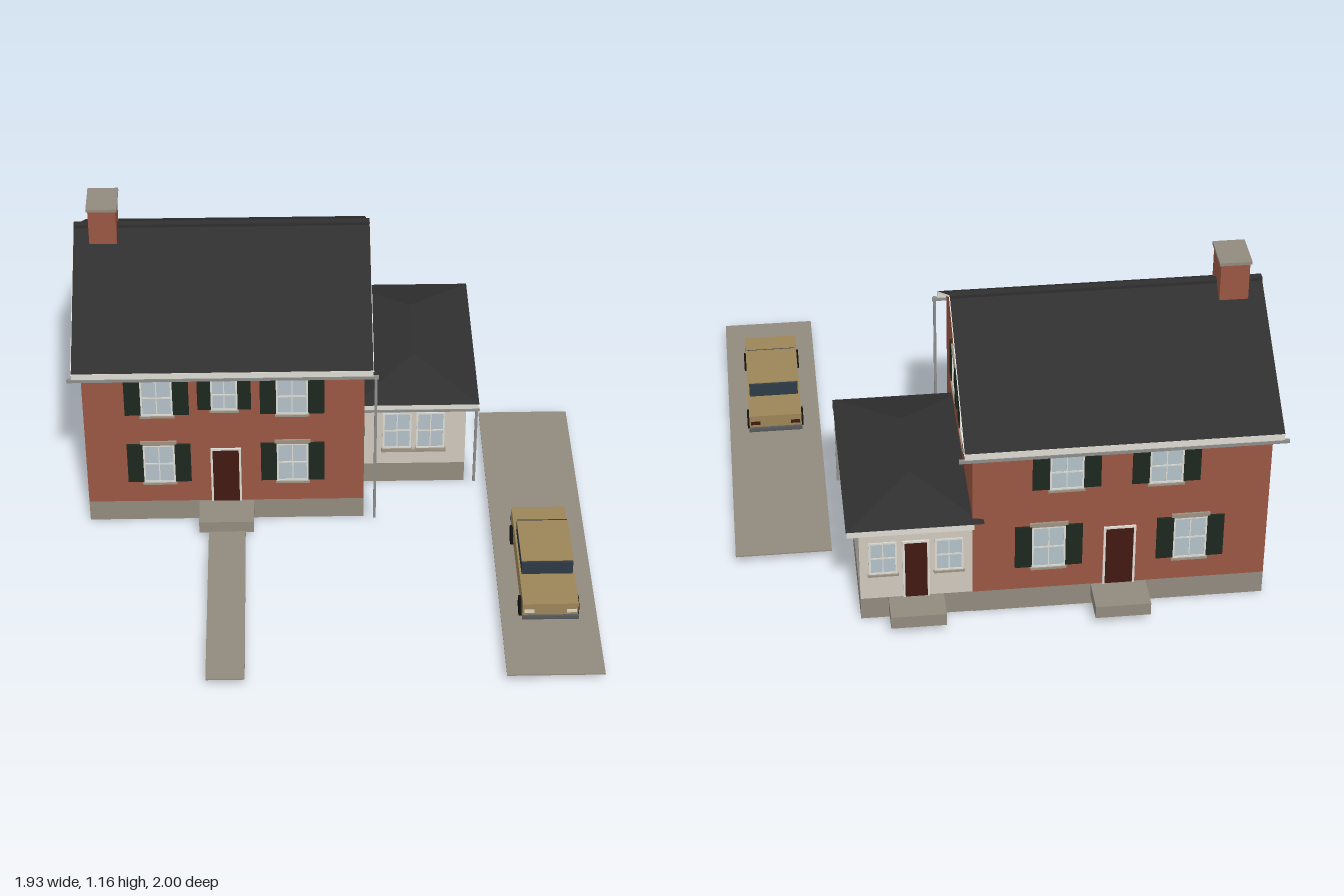
import * as THREE from 'three';

const mat = (color, side = THREE.FrontSide) =>
  new THREE.MeshStandardMaterial({ color, side, flatShading: true });

const M = {
  brick: mat(0x9a5743), stone: mat(0x918a7e), siding: mat(0xcfc8bd), roof: mat(0x302f2f, THREE.DoubleSide),
  trim: mat(0xdcdad2), trimSheet: mat(0xdcdad2, THREE.DoubleSide), gutter: mat(0x8c8c8a), glass: mat(0xb2c1c8),
  shutter: mat(0x1c2820), door: mat(0x421a12), lintel: mat(0x9c9282), paint: mat(0x9c8558),
  carGlass: mat(0x2c3a46), tyre: mat(0x111111), chrome: mat(0x55585a), lamp: mat(0xd8d4c0),
};

// Box given by its limits on each axis
function box(parent, name, material, [x0, x1], [y0, y1], [z0, z1]) {
  const mesh = new THREE.Mesh(new THREE.BoxGeometry(x1 - x0, y1 - y0, z1 - z0), material);
  mesh.position.set((x0 + x1) / 2, (y0 + y1) / 2, (z0 + z1) / 2);
  mesh.name = name;
  parent.add(mesh);
  return mesh;
}

// Flat sheet through corners listed counter-clockwise
function sheet(parent, name, material, corners) {
  const pos = [];
  for (let i = 1; i < corners.length - 1; i++) pos.push(...corners[0], ...corners[i], ...corners[i + 1]);
  const geo = new THREE.BufferGeometry();
  geo.setAttribute('position', new THREE.Float32BufferAttribute(pos, 3));
  geo.computeVertexNormals();
  const mesh = new THREE.Mesh(geo, material);
  mesh.name = name;
  parent.add(mesh);
}

// Group on a wall: local +z points out of the wall
const WALLS = { front: 0, right: Math.PI / 2, back: Math.PI, left: -Math.PI / 2 };
function onWall(parent, name, wall, x, z) {
  const g = new THREE.Group();
  g.name = name;
  g.position.set(x, 0, z);
  g.rotation.y = WALLS[wall];
  parent.add(g);
  return g;
}

// Sash window with optional shutters and lintel
function addWindow(parent, wall, x, z, y0, y1, { w = 0.12, shutter = 0.06, lintel = true } = {}) {
  const g = onWall(parent, 'window', wall, x, z);
  const h = w / 2, t = 0.007, mid = (y0 + y1) / 2;
  box(g, 'glass', M.glass, [-h, h], [y0, y1], [-0.004, 0.002]);
  for (const s of [-1, 1]) {
    const c = s * (h - t / 2);
    box(g, 'frameSide', M.trim, [c - t / 2, c + t / 2], [y0, y1], [-0.002, 0.005]);
    if (shutter) {
      const d = s * (h + shutter / 2);
      box(g, 'shutter', M.shutter, [d - shutter / 2, d + shutter / 2], [y0 + 0.006, y1 + 0.004], [-0.002, 0.008]);
    }
  }
  for (const y of [y0, y1 - t]) box(g, 'frameRail', M.trim, [-h, h], [y, y + t], [-0.002, 0.005]);
  box(g, 'meetingRail', M.trim, [-h, h], [mid - 0.003, mid + 0.003], [-0.002, 0.004]);
  box(g, 'mullion', M.trim, [-0.002, 0.002], [y0, y1], [-0.002, 0.004]);
  box(g, 'sill', M.lintel, [-h - 0.005, h + 0.005], [y0 - 0.008, y0], [-0.002, 0.01]);
  if (lintel) box(g, 'lintel', M.lintel, [-h - 0.008, h + 0.008], [y1, y1 + 0.018], [-0.002, 0.007]);
}

function addDoor(parent, wall, x, z, y0, y1, w) {
  const g = onWall(parent, 'door', wall, x, z);
  const h = w / 2, t = 0.008;
  box(g, 'doorPanel', M.door, [-h + t, h - t], [y0, y1 - t], [-0.004, 0.004]);
  for (const s of [-1, 1]) {
    const c = s * (h - t / 2);
    box(g, 'doorJamb', M.trim, [c - t / 2, c + t / 2], [y0, y1], [-0.004, 0.007]);
  }
  box(g, 'doorHead', M.trim, [-h, h], [y1 - t, y1], [-0.004, 0.007]);
}

function mainHouse() {
  const g = new THREE.Group();
  g.name = 'mainHouse';
  const X = [-0.92, 0.13], zf = 0.065, zb = -0.87, zr = -0.403;
  box(g, 'foundation', M.stone, X, [0, 0.09], [zb, zf]);

  // Gabled brick body
  const gable = new THREE.Shape([[-zf, 0.09], [-zb, 0.09], [-zb, 0.74], [-zr, 1.03], [-zf, 0.74]]
    .map(p => new THREE.Vector2(...p)));
  const walls = new THREE.Mesh(
    new THREE.ExtrudeGeometry(gable, { depth: X[1] - X[0], bevelEnabled: false }).rotateY(Math.PI / 2), M.brick);
  walls.position.x = X[0];
  walls.name = 'brickWalls';
  g.add(walls);

  // Roof slopes with pale undersheet, fascia and gutter on both eaves
  const slope = (name, m, s, grow, dy) => {
    const x0 = -0.95 - grow, x1 = 0.16 + grow, ze = zr + s * 0.513;
    const c = [[x0, 0.735 + dy, ze], [x1, 0.735 + dy, ze], [x1, 1.05 + dy, zr], [x0, 1.05 + dy, zr]];
    sheet(g, name, m, s > 0 ? c : c.reverse());
  };
  for (const s of [1, -1]) {
    slope('roofSlope', M.roof, s, 0, 0);
    slope('rakeTrim', M.trimSheet, s, 0.003, -0.007);
    const e = zr + s * 0.51;
    box(g, 'fascia', M.trim, [-0.95, 0.16], [0.708, 0.734], [e - 0.003, e + 0.003]);
    box(g, 'gutter', M.gutter, [-0.968, 0.18], [0.697, 0.709], [e - 0.006, e + 0.006]);
  }
  box(g, 'ridgeCap', M.roof, [-0.95, 0.16], [1.044, 1.056], [zr - 0.014, zr + 0.014]);
  box(g, 'downspout', M.gutter, [0.165, 0.175], [0.04, 0.705], [0.112, 0.124]);

  box(g, 'chimney', M.brick, [-0.89, -0.787], [0.9, 1.155], [-0.472, -0.335]);
  box(g, 'chimneyCap', M.stone, [-0.896, -0.781], [1.153, 1.165], [-0.478, -0.329]);

  // Front and back openings
  for (const x of [-0.645, -0.14]) {
    addWindow(g, 'front', x, zf, 0.505, 0.672);
    addWindow(g, 'front', x, zf, 0.185, 0.365);
    addWindow(g, 'back', x, zb, 0.185, 0.365);
  }
  addWindow(g, 'front', -0.393, zf, 0.528, 0.672, { w: 0.1, shutter: 0.05 });
  for (const x of [-0.55, -0.2]) addWindow(g, 'back', x, zb, 0.525, 0.675);
  addDoor(g, 'front', -0.393, zf, 0.09, 0.345, 0.115);
  addDoor(g, 'back', -0.393, zb, 0.09, 0.345, 0.115);

  // Gable end windows
  for (const z of [-0.252, -0.548]) {
    addWindow(g, 'right', X[1], z, 0.53, 0.677);
    addWindow(g, 'left', X[0], z, 0.53, 0.677);
    addWindow(g, 'left', X[0], z, 0.19, 0.355);
  }
  addWindow(g, 'right', X[1], -0.252, 0.19, 0.345);

  // Stoops
  box(g, 'frontStoop', M.stone, [-0.498, -0.29], [0.038, 0.088], [zf, 0.195]);
  box(g, 'backStoop', M.stone, [-0.493, -0.295], [0.038, 0.088], [-1, zb]);
  return g;
}

function annex() {
  const g = new THREE.Group();
  g.name = 'sideWing';
  const X = [0.13, 0.53], Z = [-0.868, -0.145];
  box(g, 'foundation', M.stone, X, [0, 0.09], Z);
  box(g, 'sidingWalls', M.siding, X, [0.09, 0.39], Z);
  box(g, 'eaves', M.trim, [0.125, 0.572], [0.387, 0.412], [-0.893, -0.098]);
  box(g, 'gutter', M.gutter, [0.135, 0.577], [0.38, 0.39], [-0.104, -0.094]);
  box(g, 'downspout', M.gutter, [0.56, 0.57], [0.04, 0.385], [-0.102, -0.09]);

  // Hip roof
  const x0 = 0.09, x1 = 0.575, z0 = -0.896, z1 = -0.095, y = 0.413;
  const A = [x0, y, z1], B = [x1, y, z1], C = [x1, y, z0], D = [x0, y, z0];
  const R = [0.333, 0.482, -0.335], S = [0.333, 0.482, -0.655];
  for (const c of [[A, B, R], [B, C, S, R], [C, D, S], [D, A, R, S]]) sheet(g, 'hipSlope', M.roof, c);

  // Openings
  const plain = { w: 0.11, shutter: 0, lintel: false };
  for (const x of [0.265, 0.394]) addWindow(g, 'front', x, Z[1], 0.168, 0.34, plain);
  box(g, 'sharedSill', M.lintel, [0.205, 0.455], [0.154, 0.162], [Z[1], Z[1] + 0.012]);
  for (const z of [-0.39, -0.603]) addWindow(g, 'right', X[1], z, 0.202, 0.345, plain);
  for (const x of [0.213, 0.447]) addWindow(g, 'back', x, Z[0], 0.2, 0.34, { ...plain, w: 0.1 });
  addDoor(g, 'back', 0.33, Z[0], 0.09, 0.34, 0.095);
  box(g, 'backStoop', M.stone, [0.232, 0.43], [0.038, 0.088], [-0.98, Z[0]]);
  return g;
}

function car() {
  const g = new THREE.Group();
  g.name = 'car';
  box(g, 'body', M.paint, [0.686, 0.888], [0.075, 0.147], [0.2, 0.745]);
  box(g, 'cabinGlass', M.carGlass, [0.693, 0.881], [0.147, 0.2], [0.335, 0.58]);
  box(g, 'cabinRoof', M.paint, [0.692, 0.882], [0.198, 0.204], [0.345, 0.57]);
  for (const z of [0.192, 0.747]) box(g, 'bumper', M.chrome, [0.684, 0.89], [0.082, 0.096], [z - 0.005, z + 0.008]);
  for (const x of [0.71, 0.864]) {
    box(g, 'headlight', M.lamp, [x - 0.018, x + 0.018], [0.108, 0.122], [0.743, 0.748]);
    box(g, 'tailLight', M.door, [x - 0.018, x + 0.018], [0.108, 0.122], [0.197, 0.202]);
  }
  for (const x of [0.69, 0.884]) for (const z of [0.28, 0.675]) {
    const wheel = new THREE.Mesh(new THREE.CylinderGeometry(0.037, 0.037, 0.024, 20).rotateZ(Math.PI / 2), M.tyre);
    wheel.position.set(x, 0.079, z);
    wheel.name = 'wheel';
    g.add(wheel);
  }
  return g;
}

export function createModel() {
  const model = new THREE.Group();
  model.name = 'houseWithDriveway';
  model.add(mainHouse(), annex(), car());
  box(model, 'gardenPath', M.stone, [-0.462, -0.322], [0.037, 0.042], [0.19, 1]);
  box(model, 'driveway', M.stone, [0.613, 0.965], [0.037, 0.042], [-0.52, 1]);
  return model;
}
